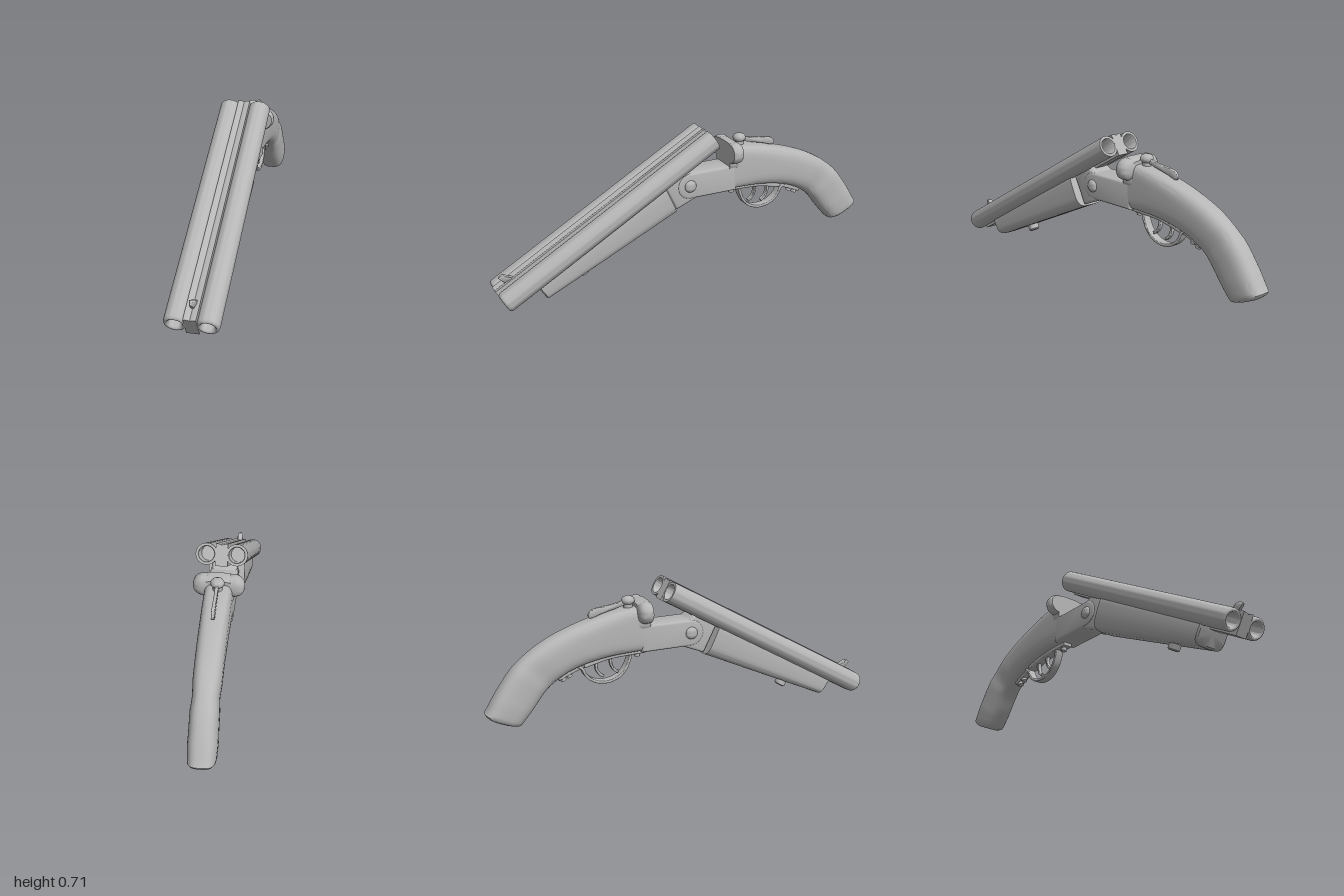
import * as THREE from 'three';
import { toCreasedNormals } from 'three/addons/utils/BufferGeometryUtils.js';

const steel = new THREE.MeshStandardMaterial({ color: 0xb6b6b6 });
steel.name = 'plain grey';

const V2 = (p) => new THREE.Vector2(p[0], p[1]);

function add(parent, name, geo, crease = 0.6) {
  const mesh = new THREE.Mesh(toCreasedNormals(geo, crease), steel);
  mesh.name = name;
  parent.add(mesh);
  return mesh;
}

// Side profile of [z, y] points, given width across x
function plate(shape, width, bevel = 0) {
  const depth = width - 2 * bevel;
  const geo = new THREE.ExtrudeGeometry(shape, {
    depth, curveSegments: 20, bevelEnabled: bevel > 0,
    bevelSize: bevel, bevelThickness: bevel, bevelOffset: -bevel, bevelSegments: 3,
  });
  return geo.translate(0, 0, -depth / 2).rotateY(-Math.PI / 2);
}

// Skin over rounded-square sections running toward -z.
// Each station: top [z, y], bottom [z, y], half width, squareness
function loft(stations, sides = 40) {
  const pos = [], index = [];
  const power = (v, n) => Math.sign(v) * Math.abs(v) ** (2 / n);
  for (const [t, b, w, n] of stations) {
    for (let j = 0; j < sides; j++) {
      const a = (j / sides) * Math.PI * 2;
      const k = (1 - power(Math.sin(a), n)) / 2;
      pos.push(w * power(Math.cos(a), n), t[1] + (b[1] - t[1]) * (1 - k), t[0] + (b[0] - t[0]) * (1 - k));
    }
  }
  const last = stations.length - 1;
  for (let i = 0; i < last; i++) {
    for (let j = 0; j < sides; j++) {
      const a = i * sides + j, b = i * sides + (j + 1) % sides;
      index.push(a, b, b + sides, a, b + sides, a + sides);
    }
  }
  for (const i of [0, last]) {
    const [t, b] = stations[i], c = pos.length / 3;
    pos.push(0, (t[1] + b[1]) / 2, (t[0] + b[0]) / 2);
    for (let j = 0; j < sides; j++) {
      const p = i * sides + j, q = i * sides + (j + 1) % sides;
      if (i === 0) index.push(c, q, p); else index.push(c, p, q);
    }
  }
  const geo = new THREE.BufferGeometry();
  geo.setAttribute('position', new THREE.Float32BufferAttribute(pos, 3));
  geo.setIndex(index);
  return geo;
}

// Smooth stations by a spline through the given ones
function smoothStations(list, steps) {
  const curve = (k) => new THREE.CatmullRomCurve3(list.map((s) => new THREE.Vector3(s[k][0], s[k][1], 0)));
  const size = new THREE.CatmullRomCurve3(list.map((s) => new THREE.Vector3(s[2], s[3], 0)));
  const top = curve(0), bottom = curve(1);
  return Array.from({ length: steps + 1 }, (_, i) => {
    const u = i / steps, t = top.getPoint(u), b = bottom.getPoint(u), s = size.getPoint(u);
    return [[t.x, t.y], [b.x, b.y], s.x, s.y];
  });
}

function buildBarrels() {
  const group = new THREE.Group();
  group.name = 'barrelAssembly';
  group.position.set(0, 0.365, 0.434);
  group.rotation.x = Math.PI / 6;

  // Twin barrels with rounded muzzles and blind bores
  const profile = [
    [0, -0.5], [0.036, -0.5], [0.036, -0.617], [0.039, -0.621], [0.051, -0.621],
    [0.051, 0.603], [0.049, 0.613], [0.044, 0.62], [0.039, 0.621], [0.034, 0.617],
    [0.031, 0.608], [0.031, 0.45], [0, 0.45],
  ].map(V2);
  for (const s of [-1, 1]) {
    const geo = new THREE.LatheGeometry(profile, 40).rotateX(Math.PI / 2);
    add(group, s > 0 ? 'leftBarrel' : 'rightBarrel', geo, 0.9).position.x = 0.071 * s;
  }

  // Rib between the barrels, with a shallow groove on top
  const rib = new THREE.Shape([
    [-0.029, -0.055], [0.029, -0.055], [0.028, 0.051], [0.008, 0.048],
    [0, 0.044], [-0.008, 0.048], [-0.028, 0.051],
  ].map(V2));
  add(group, 'centreRib', new THREE.ExtrudeGeometry(rib, { depth: 1.243, bevelEnabled: false }).translate(0, 0, -0.6215));

  // Front sight
  const sight = loft([
    [[0.574, 0.086], [0.56, 0.04], 0.007, 3],
    [[0.56, 0.09], [0.548, 0.04], 0.012, 3],
    [[0.545, 0.086], [0.535, 0.04], 0.016, 3],
    [[0.53, 0.055], [0.51, 0.04], 0.012, 3],
  ], 16);
  add(group, 'frontSight', sight);

  // Tapered forend
  add(group, 'forend', loft([
    [[0.457, -0.015], [0.455, -0.128], 0.078, 4],
    [[0.452, -0.01], [0.447, -0.137], 0.085, 4],
    [[0.1, -0.01], [0.1, -0.168], 0.089, 4],
    [[-0.298, -0.01], [-0.281, -0.202], 0.09, 4],
  ]), 0.7);

  // Forend latch stud
  const stud = new THREE.LatheGeometry(
    [[0, -0.186], [0.021, -0.186], [0.028, -0.18], [0.028, -0.13], [0, -0.13]].map(V2), 24);
  add(group, 'forendStud', stud).position.z = 0.24;
  return group;
}

function buildFrame() {
  const group = new THREE.Group();
  group.name = 'frameAndGrip';

  // Action bar with rounded hinge end
  const bar = new THREE.Shape();
  bar.moveTo(-0.24, 0.388);
  bar.lineTo(0.015, 0.388);
  bar.absarc(0.015, 0.454, 0.066, -Math.PI / 2, Math.PI / 2, false);
  bar.lineTo(-0.24, 0.52);
  add(group, 'actionBar', plate(bar, 0.132, 0.012), 0.7);

  // Lug joining the forend to the hinge
  const lug = new THREE.Shape([[0.15, 0.47], [0.085, 0.342], [-0.02, 0.385], [-0.03, 0.5], [0.06, 0.55]].reverse().map(V2));
  add(group, 'hingeLug', plate(lug, 0.124, 0.015));

  // Domed hinge pins
  for (const s of [-1, 1]) {
    const pin = new THREE.SphereGeometry(0.031, 24, 12);
    const mesh = add(group, 'hingePin', pin);
    mesh.scale.x = 0.55;
    mesh.position.set(0.065 * s, 0.455, 0.015);
  }

  // Receiver flowing into the curved grip
  const grip = smoothStations([
    [[-0.2, 0.605], [-0.2, 0.39], 0.066, 5],
    [[-0.28, 0.607], [-0.28, 0.388], 0.066, 4.5],
    [[-0.42, 0.583], [-0.394, 0.38], 0.066, 3.6],
    [[-0.61, 0.528], [-0.53, 0.353], 0.065, 3],
    [[-0.74, 0.468], [-0.624, 0.315], 0.064, 2.8],
    [[-0.85, 0.385], [-0.705, 0.257], 0.064, 2.8],
    [[-0.93, 0.283], [-0.77, 0.176], 0.065, 2.8],
    [[-0.988, 0.19], [-0.825, 0.112], 0.063, 2.9],
  ], 36);
  grip.push(
    [[-0.998, 0.178], [-0.835, 0.102], 0.06, 2.9],
    [[-0.993, 0.166], [-0.85, 0.1], 0.052, 2.9],
    [[-0.975, 0.148], [-0.875, 0.104], 0.036, 2.9],
  );
  add(group, 'grip', loft(grip), 0.8);

  // Standing breech: two rounded bosses with a bridge
  const boss = [[0, -0.026], [0.046, -0.026], [0.051, -0.02], [0.053, 0], [0.05, 0.018], [0.04, 0.03], [0.022, 0.036], [0, 0.037]].map(V2);
  for (const s of [-1, 1]) {
    const geo = new THREE.LatheGeometry(boss, 32).rotateX(-Math.PI / 2);
    add(group, 'breechBoss', geo, 0.8).position.set(0.068 * s, 0.587, -0.225);
  }
  add(group, 'breechBridge', loft([
    [[-0.199, 0.638], [-0.199, 0.5], 0.07, 6],
    [[-0.24, 0.638], [-0.24, 0.5], 0.072, 6],
    [[-0.258, 0.625], [-0.258, 0.5], 0.066, 5],
  ]), 0.8);

  // Top lever: round cap and a thin thumb leaf
  const cap = new THREE.LatheGeometry(
    [[0, 0.59], [0.022, 0.59], [0.022, 0.622], [0.031, 0.63], [0.032, 0.642], [0.026, 0.653], [0.012, 0.659], [0, 0.66]].map(V2), 28);
  add(group, 'leverCap', cap, 0.8).position.z = -0.287;
  const leaf = new THREE.Shape();
  leaf.moveTo(-0.29, 0.622);
  leaf.splineThru([[-0.35, 0.605], [-0.42, 0.588], [-0.475, 0.572], [-0.486, 0.59], [-0.465, 0.613], [-0.42, 0.622], [-0.37, 0.627], [-0.29, 0.645]].map(V2));
  add(group, 'leverLeaf', plate(leaf, 0.016, 0.004), 0.8);
  return group;
}

function buildTriggers() {
  const group = new THREE.Group();
  group.name = 'triggerGroup';

  // A strap swept along [z, y] points as a band of given width
  const strap = (points, width, thick) => {
    const path = new THREE.SplineCurve(points.map(V2));
    const outer = [], inner = [];
    for (let i = 0; i <= 32; i++) {
      const p = path.getPoint(i / 32), t = path.getTangent(i / 32);
      outer.push(new THREE.Vector2(p.x - t.y * thick, p.y + t.x * thick));
      inner.unshift(new THREE.Vector2(p.x + t.y * thick, p.y - t.x * thick));
    }
    return plate(new THREE.Shape([...outer, ...inner]), width, thick * 0.5);
  };

  // Guard bow with front tab and rear tang
  add(group, 'triggerGuard', strap([
    [-0.28, 0.39], [-0.291, 0.345], [-0.315, 0.297], [-0.355, 0.264], [-0.41, 0.251],
    [-0.467, 0.263], [-0.507, 0.295], [-0.528, 0.335], [-0.55, 0.35],
  ], 0.044, 0.007), 0.8);
  add(group, 'guardPlate', strap([[-0.21, 0.382], [-0.3, 0.38], [-0.4, 0.373], [-0.52, 0.347]], 0.05, 0.01));
  add(group, 'guardTang', strap([[-0.51, 0.352], [-0.58, 0.326], [-0.645, 0.298]], 0.036, 0.009));

  // Screws
  for (const [z, y, tilt] of [[-0.245, 0.37, 0], [-0.592, 0.312, 0.4], [-0.622, 0.299, 0.4]]) {
    const screw = add(group, 'guardScrew', new THREE.CylinderGeometry(0.016, 0.014, 0.03, 18));
    screw.position.set(0, y, z);
    screw.rotation.x = -tilt;
  }

  // Two curved triggers
  for (const [z, y] of [[-0.378, 0.378], [-0.452, 0.366]]) {
    const pts = [[0, 0.01], [-0.004, -0.03], [0.004, -0.06], [0.02, -0.08], [0.034, -0.088]];
    add(group, 'trigger', strap(pts.map(([a, b]) => [z + a, y + b]), 0.02, 0.007), 0.8);
  }
  return group;
}

export function createModel() {
  const model = new THREE.Group();
  model.name = 'breakOpenDoubleBarrel';
  model.add(buildBarrels(), buildFrame(), buildTriggers());
  return model;
}
